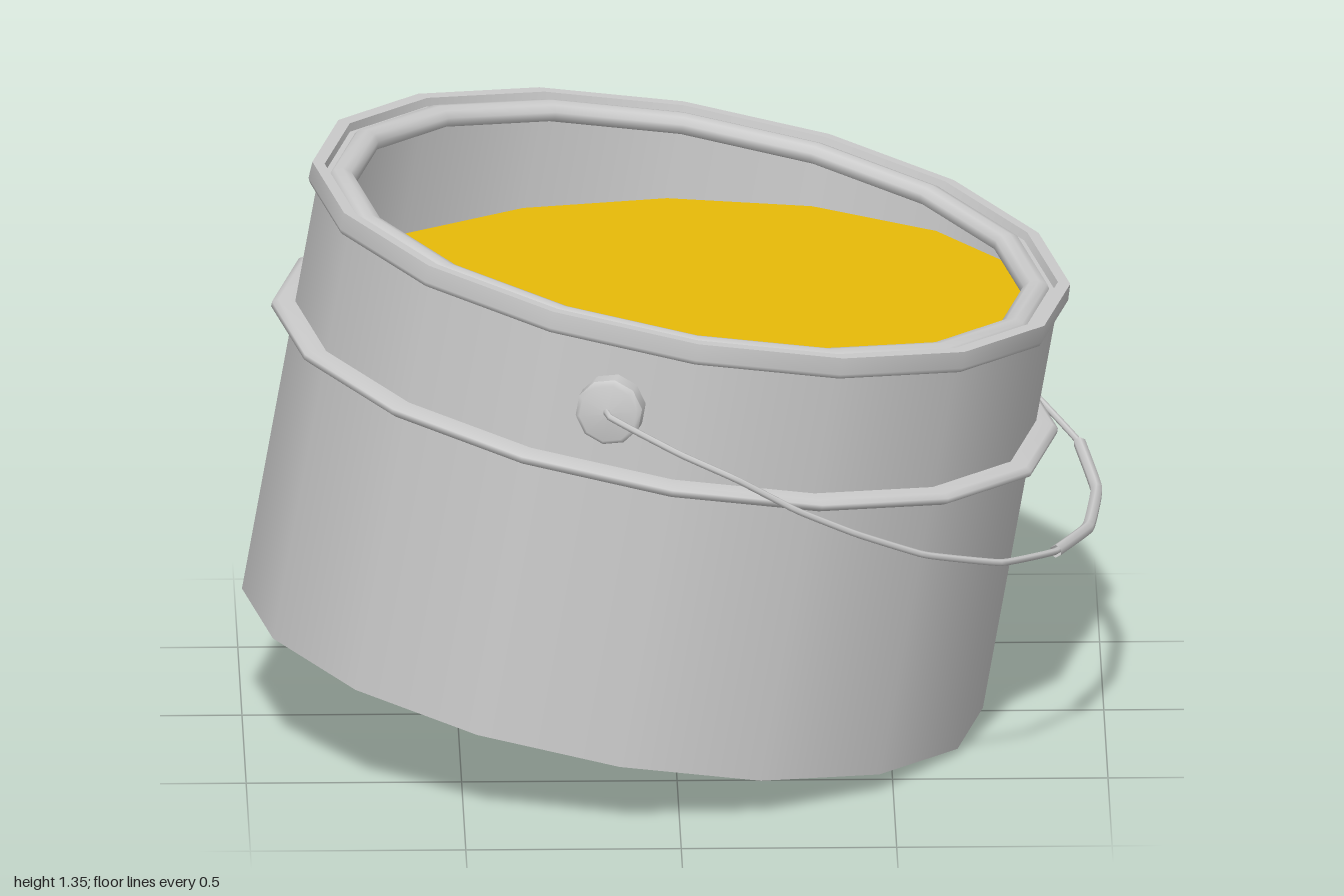
import * as THREE from 'three';

const SIDES = 16;
const TILT = THREE.MathUtils.degToRad(10);
const RADIUS = 0.873;

const metal = new THREE.MeshStandardMaterial({ color: 0xcccccc, side: THREE.DoubleSide });
const paint = new THREE.MeshStandardMaterial({ color: 0xe7ba08, side: THREE.DoubleSide });

function add(parent, name, geometry, material = metal) {
  const mesh = new THREE.Mesh(geometry, material);
  mesh.name = name;
  parent.add(mesh);
  return mesh;
}

// A point given twice in a row makes a sharp edge
function lathe(points, sides = SIDES) {
  return new THREE.LatheGeometry(points.map(([r, y]) => new THREE.Vector2(r, y)), sides);
}

// Tube through a few points with nearly straight runs between them
function wire(points, radius) {
  const path = new THREE.CatmullRomCurve3(points.map((p) => new THREE.Vector3(...p)), false, 'catmullrom', 0.15);
  return new THREE.TubeGeometry(path, points.length * 6, radius, 6);
}

export function createModel() {
  const model = new THREE.Group();
  model.name = 'paintBucket';

  // Everything fixed to the can leans with it
  const can = new THREE.Group();
  can.name = 'can';
  can.position.set(-0.14, 0.152, -0.02);
  can.rotation.z = -TILT;
  model.add(can);

  // Thin outer wall, inner wall, and a floor raised inside the skirt
  add(can, 'wall', lathe([[RADIUS, 0], [RADIUS, 1.01]]));
  add(can, 'innerWall', lathe([[0.863, 0.23], [0.863, 1.005]]));
  add(can, 'floor', lathe([[0.871, 0], [0.871, 0.22], [0, 0.22]]));

  // Rim: outer band, lid groove, rounded inner bead
  add(can, 'rim', lathe([
    [0.873, 1.0], [0.89, 1.004], [0.895, 1.015], [0.893, 1.055], [0.893, 1.055],
    [0.864, 1.055], [0.864, 1.055], [0.86, 1.035], [0.86, 1.035], [0.847, 1.035], [0.847, 1.035],
    [0.84, 1.046], [0.82, 1.051], [0.8, 1.046], [0.787, 1.032], [0.787, 1.012], [0.81, 1.002], [0.873, 1.0],
  ]));

  // Reinforcing hoop around the wall
  add(can, 'hoop', lathe([
    [0.87, 0.681], [0.912, 0.683], [0.926, 0.691], [0.926, 0.703], [0.912, 0.711], [0.87, 0.713],
  ]));

  // Paint stays level while the can leans
  const surface = new THREE.CircleGeometry(0.866, SIDES).rotateX(-Math.PI / 2);
  const pos = surface.attributes.position;
  for (let i = 0; i < pos.count; i++) pos.setY(i, 0.825 + pos.getX(i) * Math.tan(TILT));
  surface.computeVertexNormals();
  add(can, 'paint', surface, paint);

  // Pivot knobs on opposite sides
  const pivots = new THREE.Group();
  pivots.name = 'pivots';
  pivots.position.y = 0.855;
  pivots.rotation.y = -Math.PI / SIDES;
  can.add(pivots);
  for (const side of [1, -1]) {
    const knob = add(pivots, side > 0 ? 'frontKnob' : 'backKnob',
      lathe([[0.079, 0], [0.079, 0.05], [0.079, 0.05], [0.068, 0.064], [0, 0.069]], 10));
    knob.rotation.x = side * Math.PI / 2;
    knob.position.z = side * 0.855;
  }

  // Wire handle hanging to one side
  const bail = [
    [-0.17, 1.03, 0.86], [-0.17, 1.03, 0.91], [-0.12, 1.005, 0.925], [0, 0.945, 0.945],
    [0.13, 0.885, 0.95], [0.27, 0.8, 0.925], [0.41, 0.725, 0.875], [0.57, 0.645, 0.79],
    [0.75, 0.575, 0.64], [0.88, 0.532, 0.43], [0.96, 0.507, 0.18], [0.985, 0.507, -0.1],
    [0.95, 0.548, -0.32], [0.82, 0.625, -0.55], [0.66, 0.73, -0.75], [0.53, 0.815, -0.85],
    [0.35, 0.9, -0.92], [0.2, 0.962, -0.955], [0.18, 0.965, -0.93], [0.18, 0.965, -0.88],
  ];
  const handle = new THREE.Group();
  handle.name = 'handle';
  model.add(handle);
  add(handle, 'handleWire', wire(bail, 0.008));
  add(handle, 'handleGrip', wire(bail.slice(9, 13), 0.015));

  return model;
}
